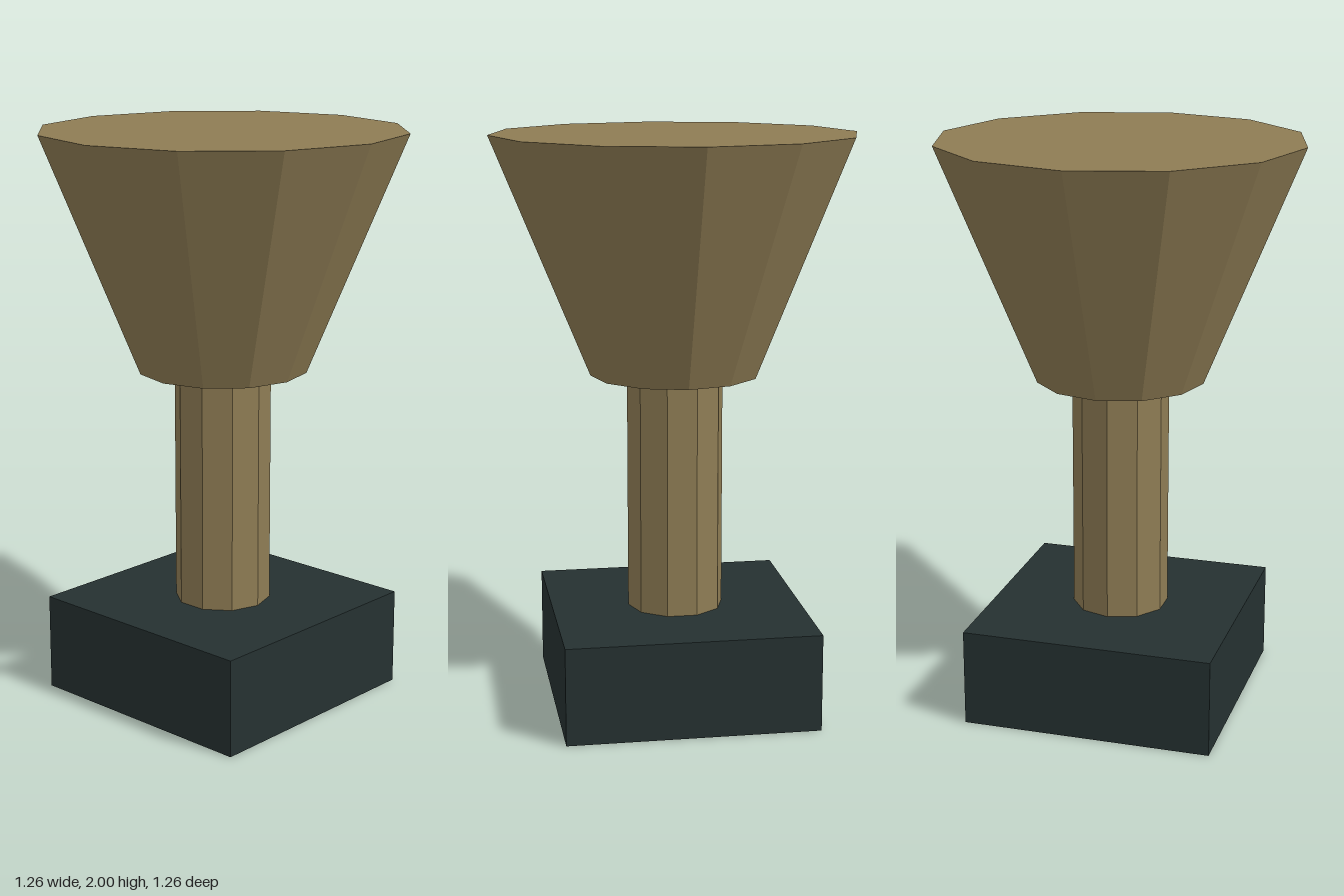
import * as THREE from 'three';

const material = (name, color) => {
  const m = new THREE.MeshStandardMaterial({ color, flatShading: true });
  m.name = name;
  return m;
};

export function createModel() {
  const group = new THREE.Group();
  const tan = material('tan', 0x8e7c54);
  const slate = material('dark slate', 0x253131);

  const add = (name, geometry, mat, bottom, top) => {
    const mesh = new THREE.Mesh(geometry, mat);
    mesh.name = name;
    mesh.position.y = (bottom + top) / 2;
    group.add(mesh);
  };

  // Square plinth
  add('base', new THREE.BoxGeometry(0.877, 0.342, 0.877), slate, 0, 0.342);

  // Ten-sided post
  add('stem', new THREE.CylinderGeometry(0.168, 0.168, 0.833, 10), tan, 0.342, 1.175);

  // Twelve-sided flared head with a closed top
  add('head', new THREE.CylinderGeometry(0.632, 0.295, 0.825, 12), tan, 1.175, 2);

  return group;
}
